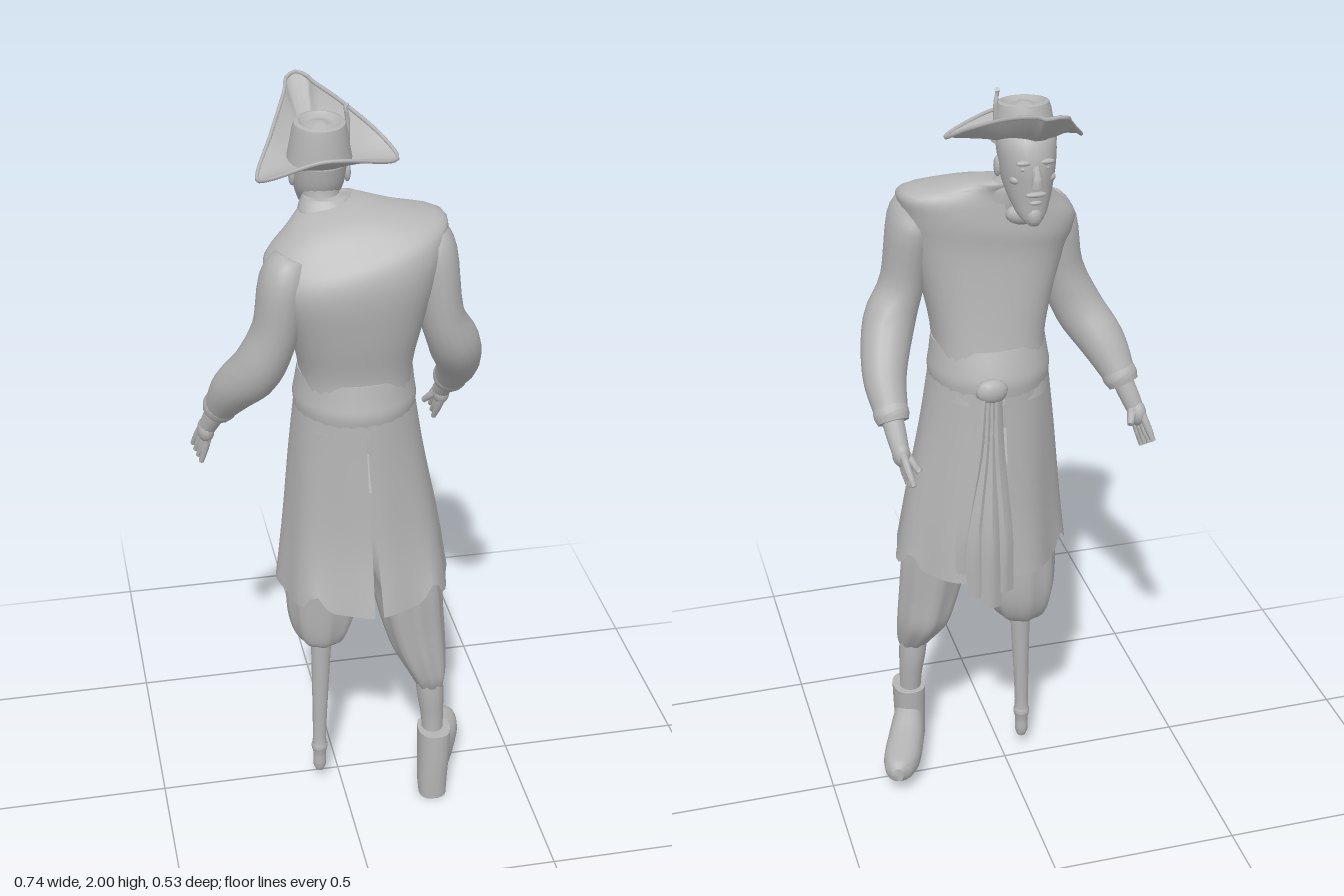
import * as THREE from 'three';
import { toCreasedNormals } from 'three/addons/utils/BufferGeometryUtils.js';

const V = (x, y, z) => new THREE.Vector3(x, y, z);
const X = V(1, 0, 0), Y = V(0, 1, 0), Z = V(0, 0, 1);
const clay = new THREE.MeshStandardMaterial({ color: 0xb4b4b4, side: THREE.DoubleSide });
clay.name = 'clay grey';

// Surface from a rule: fn(u index, v index) gives a point
function grid(nu, nv, fn, closed) {
  const pos = [], idx = [], w = closed ? nu : nu + 1;
  for (let i = 0; i <= nv; i++) for (let j = 0; j < w; j++) pos.push(...fn(j, i).toArray());
  for (let i = 0; i < nv; i++) for (let j = 0; j < nu; j++) {
    const k = (j + 1) % w, a = i * w + j, b = i * w + k;
    idx.push(a, b, b + w, a, b + w, a + w);
  }
  const g = new THREE.BufferGeometry();
  g.setAttribute('position', new THREE.Float32BufferAttribute(pos, 3));
  g.setIndex(idx);
  return toCreasedNormals(g, 0.9);
}

// Smooth curves for the centres and radii of sections [x, y, z, a, b]
function curves(s) {
  const c = (pts) => new THREE.CatmullRomCurve3(pts, false, 'catmullrom', 0.5);
  return [c(s.map((p) => V(p[0], p[1], p[2]))), c(s.map((p) => V(p[3], p[4] ?? p[3], 0)))];
}

// Capped loft; level keeps rings horizontal, pleats ripple the radius, power < 1 squares the ring
function loft(s, { n = 20, ref = Z, level = false, pleats = 0, depth = 0.05, power = 1, warp } = {}) {
  const [path, rad] = curves(s), steps = (s.length - 1) * 4;
  const round = (v) => Math.sign(v) * Math.abs(v) ** power;
  return grid(n, steps + 2, (j, i) => {
    const u = THREE.MathUtils.clamp((i - 1) / steps, 0, 1), th = (j / n) * Math.PI * 2;
    const t = level ? Y : path.getTangent(u);
    const side = t.clone().cross(ref).normalize(), up = t.clone().cross(side);
    const r = rad.getPoint(u), k = i === 0 || i === steps + 2 ? 0 : 1 + (pleats ? depth * Math.cos(pleats * th) : 0);
    const p = path.getPoint(u).addScaledVector(side, r.x * k * round(Math.cos(th))).addScaledVector(up, r.y * k * round(Math.sin(th)));
    if (warp) warp(p);
    return p;
  }, true);
}

export function createModel() {
  const root = new THREE.Group();
  const add = (name, geo, parent = root) => {
    const m = new THREE.Mesh(geo, clay);
    m.name = name;
    parent.add(m);
    return m;
  };
  const group = (name) => {
    const g = new THREE.Group();
    g.name = name;
    root.add(g);
    return g;
  };
  const ball = (name, x, y, z, a, b, c, parent) => {
    const m = add(name, new THREE.SphereGeometry(1, 12, 8), parent);
    m.position.set(x, y, z);
    m.scale.set(a, b, c);
    return m;
  };

  // Coat body with one raised shoulder
  add('coatBody', loft([
    [0.035, 1.2, 0.035, 0.15, 0.152], [0.035, 1.33, 0.042, 0.142, 0.13], [0.03, 1.45, 0.062, 0.165, 0.13],
    [0.03, 1.57, 0.077, 0.2, 0.13], [0.03, 1.64, 0.07, 0.22, 0.124], [0.03, 1.69, 0.052, 0.218, 0.1],
    [0.0, 1.735, 0.03, 0.135, 0.075], [-0.02, 1.765, -0.01, 0.07, 0.055],
  ], { n: 32, level: true, power: 0.82, warp: (p) => {
    p.y += 0.2 * (p.x - 0.03) * THREE.MathUtils.clamp((p.y - 1.45) / 0.2, 0, 1);
  } }));

  // Coat skirt: two flared panels with a slit behind and an opening in front
  const [skirtPath, skirtRad] = curves([
    [0.06, 0.7, 0.055, 0.228, 0.203], [0.055, 0.87, 0.043, 0.206, 0.178],
    [0.042, 1.08, 0.038, 0.176, 0.165], [0.035, 1.25, 0.037, 0.153, 0.157],
  ]);
  for (const s of [-1, 1]) {
    add('coatSkirtPanel', grid(30, 14, (j, i) => {
      const v = i / 14, drop = 1 - v, q = j / 30;
      // angle runs from the back slit to the front opening
      const th = THREE.MathUtils.lerp(0.05 * drop, Math.PI - 0.22 * drop, q);
      const c = skirtPath.getPoint(v), r = skirtRad.getPoint(v);
      const k = 1 + 0.035 * drop * Math.cos(th * 7);
      const hem = drop ** 6 * 0.05 * Math.max(0, Math.cos((th - 0.75) * 5)) ** 6;
      return V(c.x + s * r.x * k * Math.sin(th), c.y + hem, c.z + r.y * k * Math.cos(th));
    }, false));
  }

  // Waist sash, knot and hanging tails
  const sash = group('sash');
  add('sashBand', loft([
    [0.035, 1.22, 0.036, 0.154, 0.158], [0.035, 1.255, 0.037, 0.157, 0.16],
    [0.035, 1.29, 0.038, 0.152, 0.15], [0.035, 1.335, 0.042, 0.146, 0.135],
  ], { n: 28, level: true }), sash);
  ball('sashKnot', 0.07, 1.25, -0.13, 0.042, 0.033, 0.023, sash);
  [[0.05, 0.68, -0.165], [0.085, 0.64, -0.172], [0.12, 0.67, -0.16], [0.145, 0.74, -0.145]].forEach(([x, y, z], i) =>
    add('sashTail', loft([
      [0.06 + i * 0.01, 1.25, -0.13, 0.014, 0.012], [0.06 + i * 0.016, 1.08, -0.14, 0.018, 0.014],
      [x, 0.85, z, 0.022, 0.014], [x, y, z, 0.024, 0.011],
    ], { n: 12, pleats: 4, depth: 0.15 }), sash));

  // Neck, head and face
  const head = group('head');
  add('neck', loft([[-0.02, 1.68, 0.0, 0.055], [-0.035, 1.76, -0.035, 0.046], [-0.035, 1.84, -0.05, 0.05]], { level: true }), head);
  add('skull', loft([
    [-0.035, 1.682, -0.13, 0.012, 0.01], [-0.035, 1.705, -0.112, 0.034, 0.032], [-0.035, 1.74, -0.09, 0.05, 0.056],
    [-0.035, 1.78, -0.073, 0.062, 0.076], [-0.035, 1.83, -0.067, 0.069, 0.084], [-0.035, 1.88, -0.058, 0.071, 0.08],
    [-0.035, 1.92, -0.05, 0.055, 0.06],
  ], { level: true }), head);
  add('nose', loft([[-0.035, 1.835, -0.144, 0.01], [-0.035, 1.808, -0.156, 0.012], [-0.035, 1.787, -0.158, 0.015, 0.012]], { n: 12 }), head);
  ball('moustache', -0.035, 1.766, -0.148, 0.027, 0.007, 0.009, head);
  ball('lowerLip', -0.035, 1.744, -0.144, 0.016, 0.006, 0.007, head);
  ball('beard', -0.035, 1.707, -0.134, 0.02, 0.026, 0.017, head);
  for (const s of [-1, 1]) {
    ball('ear', -0.035 + s * 0.068, 1.81, -0.05, 0.009, 0.026, 0.016, head);
    ball('brow', -0.035 + s * 0.027, 1.844, -0.14, 0.021, 0.007, 0.009, head);
    ball('eye', -0.035 + s * 0.026, 1.828, -0.138, 0.011, 0.006, 0.006, head);
    ball('cheekbone', -0.035 + s * 0.04, 1.797, -0.117, 0.017, 0.012, 0.016, head);
  }

  // Collar and neckerchief
  add('collar', loft([[-0.02, 1.715, 0.0, 0.083, 0.068], [-0.022, 1.745, -0.012, 0.073, 0.06], [-0.025, 1.768, -0.02, 0.058, 0.05]], { level: true, pleats: 5, depth: 0.03 }));
  ball('neckerchief', -0.03, 1.685, -0.056, 0.045, 0.028, 0.024);

  // Three-cornered hat
  const hat = group('hat');
  const rim = new THREE.CatmullRomCurve3([
    [-0.055, 1.993, -0.262], [-0.03, 1.985, -0.25], [-0.018, 1.98, -0.215], [0.03, 1.958, -0.145], [0.108, 1.905, -0.045],
    [0.142, 1.867, 0.02], [0.123, 1.868, 0.05], [0, 1.897, 0.1], [-0.06, 1.897, 0.102], [-0.18, 1.852, 0.07],
    [-0.2, 1.84, 0.035], [-0.145, 1.905, -0.09], [-0.093, 1.968, -0.205], [-0.08, 1.985, -0.25],
  ].map((p) => V(...p)), true, 'centripetal');
  add('hatBrim', grid(56, 8, (j, i) => {
    const o = rim.getPoint(j / 56), f = i / 8;
    const th = Math.atan2(o.z + 0.03, o.x + 0.04);
    const inner = V(-0.04 + 0.07 * Math.cos(th), 1.868 - 0.014 * Math.sin(th), -0.03 + 0.07 * Math.sin(th));
    const p = inner.clone().lerp(o, f);
    p.y = THREE.MathUtils.lerp(inner.y, o.y, f ** 1.45);
    return p;
  }, true), hat);
  add('hatRim', new THREE.TubeGeometry(rim, 72, 0.005, 6, true), hat);
  const crown = add('hatCrown', toCreasedNormals(new THREE.LatheGeometry([
    [0.08, 0], [0.074, 0.03], [0.067, 0.075], [0.062, 0.092], [0.052, 0.095], [0.04, 0.085], [0.028, 0.083], [0.018, 0.091], [0, 0.094],
  ].map((p) => new THREE.Vector2(...p)), 28), 0.9), hat);
  crown.position.set(-0.04, 1.862, -0.025);
  crown.rotation.x = 0.08;
  add('hatPlume', loft([[0.025, 1.9, -0.015, 0.008], [0.027, 1.95, -0.015, 0.006], [0.022, 1.98, -0.012, 0.005], [0.026, 1.99, -0.024, 0.006]], { n: 8, ref: X }), hat);

  // Arm: sleeve, cuff and hand with curved fingers fanned along an axis
  function arm(name, sleeve, wrist, palm, tip, fan, thumb) {
    const g = group(name), tube = (n, s, k = 12) => add(n, loft(s, { n: k, ref: X }), g);
    tube('sleeve', sleeve, 18);
    const [x, y, z] = sleeve.at(-1), at = (p, d) => [p.x + fan.x * d, p.y + fan.y * d, p.z + fan.z * d];
    const dir = palm.clone().sub(wrist).normalize();
    tube('cuff', [-0.02, 0, 0.02].map((d, i) => [x + dir.x * d, y + dir.y * d, z + dir.z * d, [0.044, 0.046, 0.04][i]]), 16);
    tube('wrist', [[...wrist.toArray(), 0.028], [...wrist.clone().lerp(palm, 0.5).toArray(), 0.026], [...palm.toArray(), 0.022]]);
    ball('palm', ...palm.toArray(), 0.023, 0.034, 0.031, g);
    for (let i = 0; i < 4; i++) {
      const d = i - 1.5, mid = palm.clone().lerp(tip, 0.55);
      tube('finger', [[...at(palm, d * 0.014), 0.01], [...at(mid, d * 0.018), 0.01], [...at(tip, d * 0.021), 0.007]], 8);
    }
    const k = wrist.clone().lerp(palm, 0.7);
    tube('thumb', [[...k.toArray(), 0.013], [...k.clone().lerp(thumb, 0.6).toArray(), 0.011], [...thumb.toArray(), 0.008]], 8);
  }
  arm('pegSideArm', [
    [-0.125, 1.655, 0.08, 0.06, 0.045], [-0.15, 1.6, 0.09, 0.082, 0.06], [-0.172, 1.47, 0.09, 0.073, 0.058],
    [-0.215, 1.36, 0.07, 0.07, 0.064], [-0.265, 1.28, 0.015, 0.06], [-0.298, 1.2, -0.04, 0.042],
  ], V(-0.302, 1.19, -0.05), V(-0.332, 1.11, -0.085), V(-0.355, 1.03, -0.108), V(-0.25, 0.5, -0.7), V(-0.3, 1.1, -0.125));
  arm('bootSideArm', [
    [0.205, 1.7, 0.06, 0.055, 0.045], [0.222, 1.64, 0.075, 0.082, 0.058], [0.243, 1.48, 0.088, 0.072, 0.056],
    [0.285, 1.38, 0.065, 0.072, 0.066], [0.318, 1.28, -0.02, 0.058, 0.056], [0.318, 1.2, -0.09, 0.042],
  ], V(0.318, 1.19, -0.1), V(0.31, 1.12, -0.152), V(0.296, 1.05, -0.198), V(0, 0.45, -0.9), V(0.272, 1.08, -0.185));

  // Wooden leg side
  const pegLeg = group('pegLeg');
  add('pegBreeches', loft([
    [-0.05, 0.47, 0.02, 0.035], [-0.047, 0.495, 0.012, 0.066, 0.066], [-0.043, 0.56, 0.005, 0.09, 0.085],
    [-0.04, 0.66, 0.005, 0.098, 0.093], [-0.03, 0.8, 0.015, 0.1, 0.1], [-0.01, 1.0, 0.03, 0.1, 0.1],
  ], { n: 32, level: true, pleats: 8, depth: 0.05 }), pegLeg);
  add('peg', loft([
    [-0.06, 0.04, 0.04, 0.012], [-0.06, 0.06, 0.04, 0.018], [-0.06, 0.1, 0.04, 0.018], [-0.06, 0.125, 0.04, 0.023],
    [-0.06, 0.16, 0.04, 0.019], [-0.056, 0.35, 0.038, 0.024], [-0.052, 0.52, 0.035, 0.03],
  ], { n: 14, level: true }), pegLeg);

  // Booted leg side
  const bootLeg = group('bootLeg');
  add('bootBreeches', loft([
    [0.235, 0.36, 0.12, 0.036], [0.228, 0.4, 0.11, 0.05, 0.06], [0.21, 0.47, 0.088, 0.07, 0.085],
    [0.192, 0.56, 0.08, 0.082, 0.092], [0.172, 0.68, 0.072, 0.092, 0.102], [0.14, 0.8, 0.06, 0.1, 0.11], [0.09, 1.0, 0.04, 0.1, 0.1],
  ], { n: 32, level: true, pleats: 8, depth: 0.05 }), bootLeg);
  add('stocking', loft([[0.245, 0.16, 0.13, 0.028], [0.243, 0.25, 0.122, 0.031, 0.034], [0.237, 0.33, 0.118, 0.037, 0.042], [0.23, 0.42, 0.115, 0.04]], { n: 16, level: true }), bootLeg);
  add('bootShaft', loft([[0.243, 0.0, 0.15, 0.038, 0.037], [0.243, 0.05, 0.143, 0.041, 0.045], [0.246, 0.13, 0.137, 0.043, 0.052], [0.247, 0.215, 0.132, 0.045, 0.054]], { n: 18, level: true, power: 0.85 }), bootLeg);
  add('bootFoot', loft([
    [0.245, 0.095, 0.15, 0.038, 0.07], [0.258, 0.093, 0.1, 0.045, 0.068], [0.28, 0.082, 0.04, 0.05, 0.055],
    [0.308, 0.076, -0.03, 0.05, 0.046], [0.327, 0.077, -0.075, 0.037, 0.036], [0.335, 0.078, -0.1, 0.016, 0.02],
  ], { n: 18, ref: Y, power: 0.85 }), bootLeg);
  return root;
}
